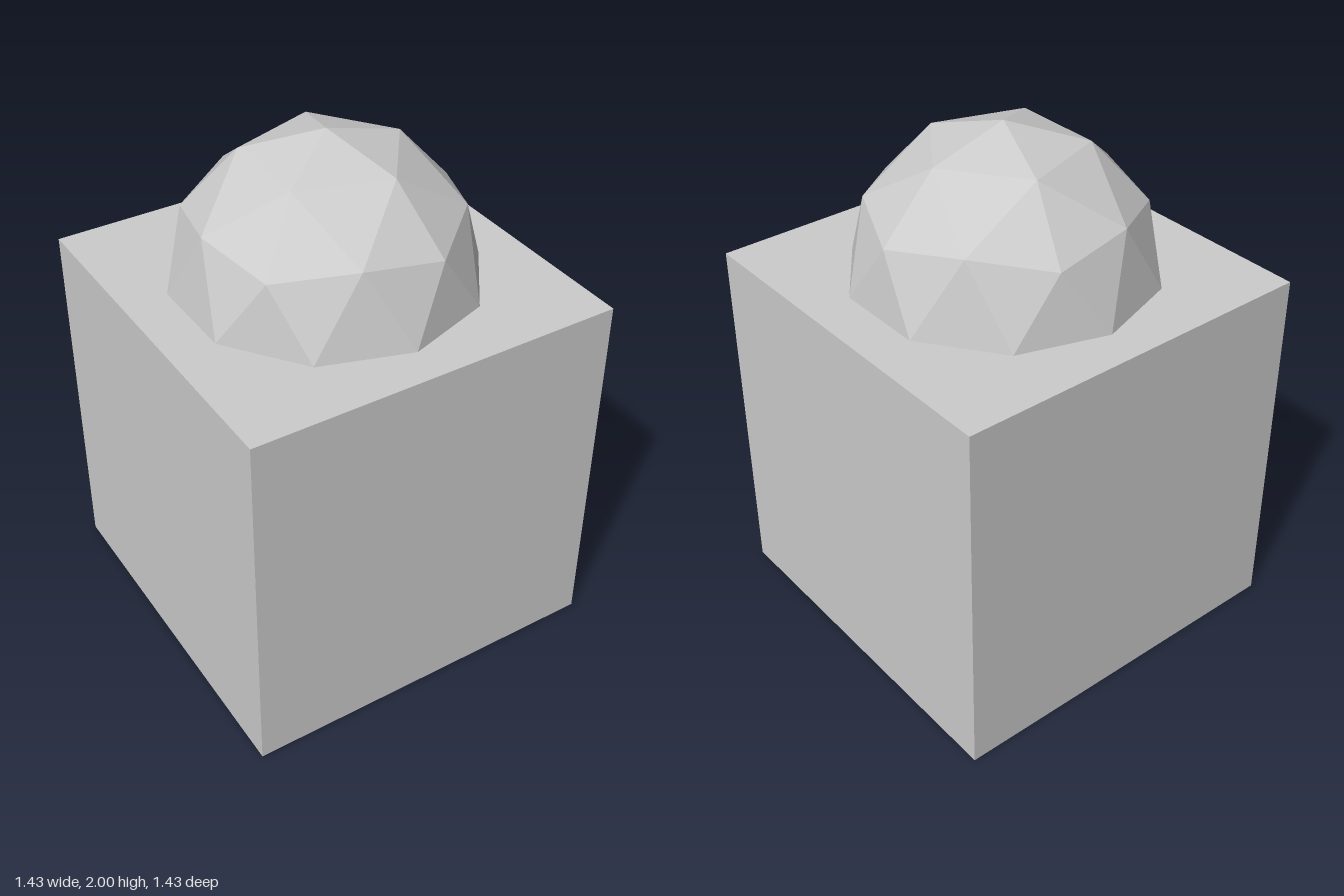
import * as THREE from 'three';

const SIDE = 1.43;
const RADIUS = 0.57;

export function createModel() {
  const model = new THREE.Group();
  model.name = 'domedPedestal';

  const stone = new THREE.MeshStandardMaterial({ color: 0xcccccc });
  stone.name = 'pale grey';
  stone.flatShading = true;

  // Cube pedestal standing on the ground
  const pedestal = new THREE.Mesh(new THREE.BoxGeometry(SIDE, SIDE, SIDE), stone);
  pedestal.name = 'pedestal';
  pedestal.position.y = SIDE / 2;

  // Faceted ball half sunk into the top, turned so one corner points straight up
  const golden = (1 + Math.sqrt(5)) / 2;
  const ballGeometry = new THREE.IcosahedronGeometry(RADIUS, 1);
  ballGeometry.rotateZ(-Math.atan(1 / golden));
  const ball = new THREE.Mesh(ballGeometry, stone);
  ball.name = 'ball';
  ball.position.y = SIDE;

  model.add(pedestal, ball);
  return model;
}
